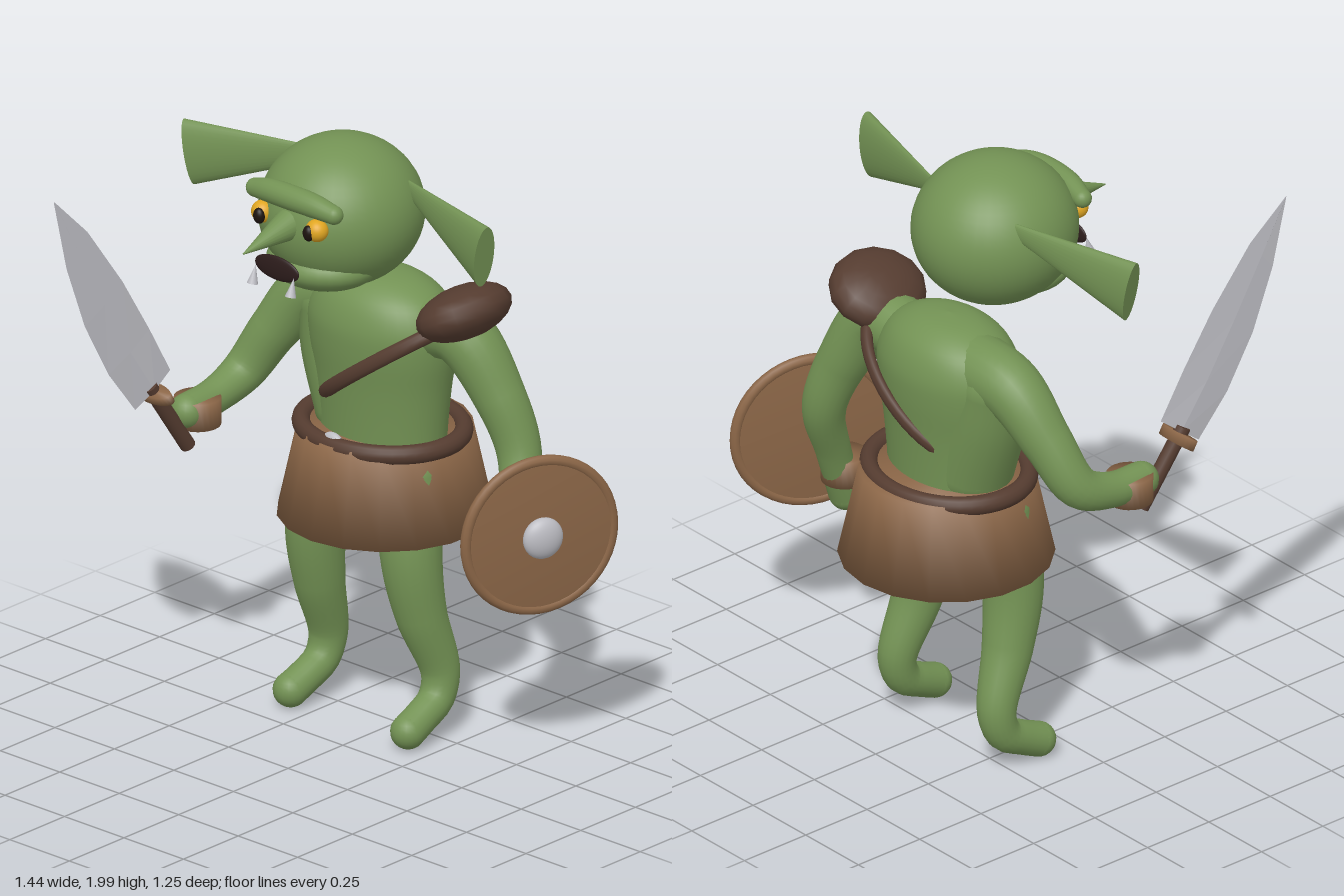
import * as THREE from 'three';
import { mergeGeometries } from 'three/addons/utils/BufferGeometryUtils.js';

const V = (x, y, z) => new THREE.Vector3(x, y, z);
const mat = (name, color) => {
  const m = new THREE.MeshStandardMaterial({ color });
  m.name = name;
  return m;
};

export function createModel() {
  const model = new THREE.Group();
  model.name = 'goblinWarrior';
  const skin = mat('greenSkin', 0x739254);
  const leather = mat('brownLeather', 0x8b6647);
  const dark = mat('darkLeather', 0x553c30);
  const steel = mat('steel', 0xbcbcc2);
  const yellow = mat('yellowEye', 0xe0a622);
  const black = mat('blackPupil', 0x1c130e);
  const maw = mat('darkMouth', 0x2c1c1b);
  const CX = -0.083; // body centre line

  const add = (name, geo, material, x = 0, y = 0, z = 0, parent = model) => {
    const m = new THREE.Mesh(geo, material);
    m.name = name;
    m.position.set(x, y, z);
    parent.add(m);
    return m;
  };
  const ball = (name, material, x, y, z, rx, ry, rz, parent = model, w = 32, h = 20) => {
    const m = add(name, new THREE.SphereGeometry(1, w, h), material, x, y, z, parent);
    m.scale.set(rx, ry, rz);
    return m;
  };
  // closed drum with normals smoothed over its rims
  const drum = (rBottom, rTop, h, sides) => new THREE.LatheGeometry(
    [[0, -h / 2], [rBottom, -h / 2], [rTop, h / 2], [0, h / 2]].map(p => new THREE.Vector2(...p)), sides);
  // turns a mesh so its y axis points along d, its z axis staying near vertical
  const aim = (m, d) => {
    const y = d.clone().normalize();
    const x = y.clone().cross(Math.abs(y.y) > 0.9 ? V(0, 0, 1) : V(0, 1, 0)).normalize();
    m.quaternion.setFromRotationMatrix(new THREE.Matrix4().makeBasis(x, y, x.clone().cross(y)));
    return m;
  };
  // tapered rod or cone from a to b
  const rod = (name, material, a, b, ra, rb, sides = 20) => {
    const d = b.clone().sub(a), c = a.clone().add(b).multiplyScalar(0.5);
    return aim(add(name, new THREE.CylinderGeometry(rb, ra, d.length(), sides), material, c.x, c.y, c.z), d);
  };
  // rounded limb along points [x, y, z, radius]
  const limb = (name, pts) => {
    const curve = new THREE.CatmullRomCurve3(pts.map(p => V(p[0], p[1], p[2])));
    const radii = new THREE.CatmullRomCurve3(pts.map((p, i) => V(p[3], i, 0)));
    const n = 36, s = 20;
    const tube = new THREE.TubeGeometry(curve, n, 1, s);
    const pos = tube.attributes.position, v = V(0, 0, 0);
    for (let i = 0; i <= n; i++) {
      const c = curve.getPointAt(i / n), r = radii.getPoint(curve.getUtoTmapping(i / n)).x;
      for (let j = 0; j <= s; j++) {
        const k = i * (s + 1) + j;
        v.fromBufferAttribute(pos, k).sub(c).multiplyScalar(r).add(c);
        pos.setXYZ(k, v.x, v.y, v.z);
      }
    }
    const caps = [pts[0], pts[pts.length - 1]].map(p =>
      new THREE.SphereGeometry(p[3], 20, 14).translate(p[0], p[1], p[2]));
    return add(name, mergeGeometries([tube, ...caps]), skin);
  };

  // Head
  const head = new THREE.Group();
  head.name = 'head';
  head.position.x = CX;
  model.add(head);
  ball('skull', skin, 0, 1.76, -0.085, 0.257, 0.24, 0.265, head, 40, 28);
  ball('jaw', skin, 0, 1.615, -0.005, 0.188, 0.082, 0.17, head);
  ball('mouth', maw, 0, 1.65, 0.21, 0.092, 0.04, 0.012, head);
  limb('brow', [[-0.165, 1.85, 0.13, 0.03], [-0.09, 1.864, 0.142, 0.038], [0, 1.868, 0.147, 0.04],
    [0.09, 1.864, 0.142, 0.038], [0.165, 1.85, 0.13, 0.03]].map(([x, ...rest]) => [CX + x, ...rest]));
  for (const s of [-1, 1]) {
    ball('eye', yellow, s * 0.114, 1.791, 0.152, 0.037, 0.036, 0.035, head);
    ball('pupil', black, s * 0.104, 1.787, 0.179, 0.02, 0.026, 0.017, head);
    const fang = add('fang', new THREE.ConeGeometry(0.018, 0.06, 12), steel, s * 0.08, 1.613, 0.228, head);
    fang.rotation.x = -0.25;
    // flattened ear cone, narrow end in the head
    const base = V(CX + s * 0.62, 1.78, -0.062), tip = V(CX + s * 0.08, 1.882, -0.205);
    rod(s < 0 ? 'rightEar' : 'leftEar', skin, base, tip, 0.108, 0.002, 28).scale.x = 0.33;
  }
  rod('nose', skin, V(CX, 1.785, 0.13), V(CX, 1.745, 0.365), 0.058, 0.002);

  // Torso
  const profile = new THREE.SplineCurve([[0.22, 0.82], [0.23, 1.0], [0.245, 1.15], [0.265, 1.28], [0.262, 1.37],
    [0.215, 1.45], [0.12, 1.5], [0, 1.515]].map(p => new THREE.Vector2(...p))).getPoints(32);
  profile.forEach(p => { p.x = Math.max(0, p.x); });
  add('torso', new THREE.LatheGeometry(profile, 40), skin, -0.07, 0, -0.26).scale.z = 0.7;
  limb('rightFlank', [[-0.27, 1.34, -0.26, 0.115], [-0.245, 1.22, -0.26, 0.13], [-0.18, 1.03, -0.26, 0.135]]);

  // Arms and legs
  limb('rightArm', [[-0.15, 1.385, -0.27, 0.115], [-0.35, 1.36, -0.25, 0.1], [-0.475, 1.21, -0.21, 0.08],
    [-0.555, 1.06, -0.15, 0.068], [-0.566, 1.01, -0.03, 0.057], [-0.562, 1.0, 0.1, 0.056]]);
  limb('leftArm', [[0.08, 1.36, -0.27, 0.1], [0.24, 1.37, -0.28, 0.1], [0.36, 1.19, -0.32, 0.083],
    [0.43, 1.0, -0.34, 0.07], [0.475, 0.8, -0.265, 0.056], [0.49, 0.617, -0.2, 0.055]]);
  for (const s of [-1, 1]) {
    const path = [[0.17, 0.88, -0.22, 0.11], [0.2, 0.62, -0.185, 0.098], [0.214, 0.42, -0.215, 0.082],
      [0.236, 0.21, -0.28, 0.062], [0.24, 0.13, -0.255, 0.057], [0.243, 0.09, -0.185, 0.055], [0.247, 0.062, -0.12, 0.056]];
    limb(s < 0 ? 'rightLeg' : 'leftLeg', path.map(([x, y, z, r]) => [CX + s * x, y, z, r]));
  }

  // Skirt, belt and buckle
  add('skirt', drum(0.338, 0.273, 0.3, 18), leather, CX, 0.835, -0.283);
  const belt = add('belt', new THREE.TorusGeometry(0.268, 0.031, 14, 48), dark, CX, 0.977, -0.272);
  belt.rotation.x = Math.PI / 2;
  belt.scale.y = 0.87;
  ball('buckle', steel, CX, 0.985, -0.045, 0.042, 0.034, 0.02);

  // Chest strap, a tilted oval ring
  const strap = add('chestStrap', new THREE.TorusGeometry(0.305, 0.024, 12, 48), dark, -0.003, 1.237, -0.253);
  strap.rotation.set(Math.PI / 2, 0.625, 0);
  strap.scale.y = 0.63;

  // Shoulder pad and bracers
  ball('shoulderPad', dark, 0.268, 1.456, -0.262, 0.146, 0.085, 0.165, model, 14, 10).rotation.z = 0.48;
  const cuff = drum(0.074, 0.074, 0.09, 24);
  add('rightBracer', cuff, leather, -0.56, 0.99, 0.055);
  add('leftBracer', cuff, leather, 0.483, 0.72, -0.212);

  // Sword: grip, guard and a curved diamond-section blade
  rod('swordGrip', dark, V(-0.55, 0.89, 0.11), V(-0.573, 1.13, 0.262), 0.025, 0.025, 16);
  const guard = add('swordGuard', drum(0.077, 0.077, 0.034, 24), leather, -0.573, 1.1, 0.242);
  guard.rotation.x = 0.55;
  guard.scale.z = 0.38;
  // front edge z, y and back edge z, y
  const sections = [[0.32, 1.066, 0.188, 1.167], [0.42, 1.209, 0.267, 1.325], [0.51, 1.394, 0.368, 1.51],
    [0.579, 1.606, 0.5, 1.71], [0.627, 1.84, 0.625, 1.842]];
  const rings = sections.map(([z1, y1, z2, y2], i) => {
    const x = z => -0.516 - 0.195 * z, t = 0.009 * (1 - i / 4.4);
    const zm = (z1 + z2) / 2, ym = (y1 + y2) / 2;
    return [V(x(z1), y1, z1), V(x(zm) + t, ym, zm), V(x(z2), y2, z2), V(x(zm) - t, ym, zm)];
  });
  const tris = [];
  const quad = (a, b, c, d) => tris.push(a, b, c, a, c, d);
  for (let i = 0; i < rings.length - 1; i++)
    for (let j = 0; j < 4; j++) {
      const k = (j + 1) % 4;
      quad(rings[i][j], rings[i][k], rings[i + 1][k], rings[i + 1][j]);
    }
  quad(...[...rings[0]].reverse());
  const blade = new THREE.BufferGeometry().setFromPoints(tris);
  blade.computeVertexNormals();
  add('swordBlade', blade, steel);

  // Shield, its face along local y
  const shield = new THREE.Group();
  shield.name = 'shield';
  shield.position.set(0.602, 0.81, -0.243);
  aim(shield, V(0.913, 0, 0.41));
  model.add(shield);
  add('shieldFace', drum(0.248, 0.248, 0.026, 40), leather, 0, 0, 0, shield);
  add('shieldRim', new THREE.TorusGeometry(0.247, 0.018, 10, 48), leather, 0, 0, 0, shield).rotation.x = Math.PI / 2;
  ball('shieldBoss', steel, 0, 0.03, 0, 0.066, 0.035, 0.068, shield);

  return model;
}
